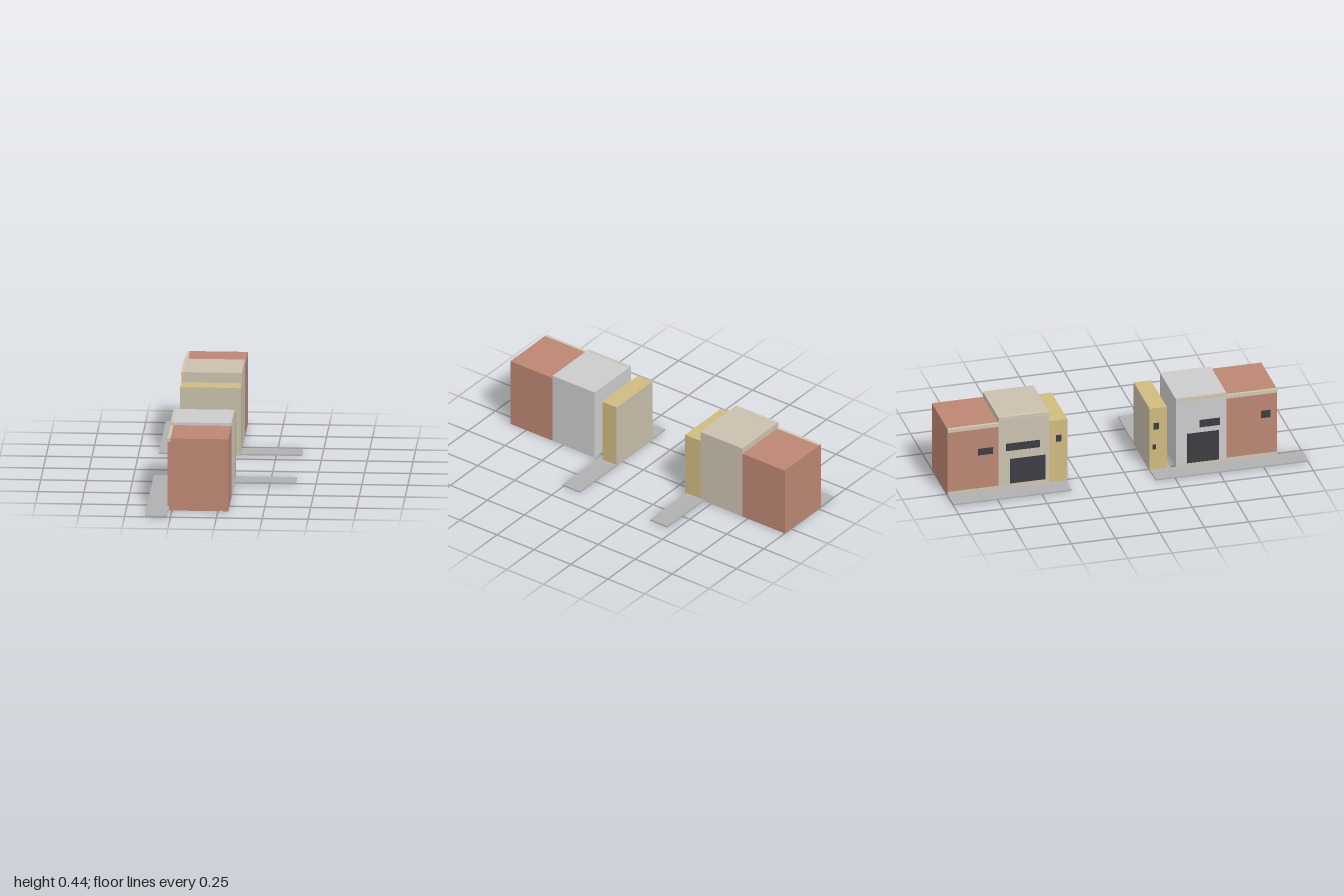
import * as THREE from 'three';

const COLORS = {
  pavement: 0xb0b0b0, brick: 0xbc8672, grey: 0xcfcecb, beige: 0xcac0af,
  ochre: 0xcfbb7f, wall: 0xc6beaa, trim: 0xcfc6b0, dark: 0x3c3c42,
};
const materials = {};
for (const key in COLORS) {
  materials[key] = new THREE.MeshStandardMaterial({ color: COLORS[key], flatShading: true });
}

// Box given by its limits on each axis
function box(parent, name, color, [x0, x1], [y0, y1], [z0, z1]) {
  const mesh = new THREE.Mesh(new THREE.BoxGeometry(x1 - x0, y1 - y0, z1 - z0), materials[color]);
  mesh.name = name;
  mesh.position.set((x0 + x1) / 2, (y0 + y1) / 2, (z0 + z1) / 2);
  parent.add(mesh);
  return mesh;
}

const FACADE = -0.273, REAR = 0.057;

// House with its street facade on the -x side; openings are [z0, z1, y0, y1]
function house(parent, name, color, height, z, openings, trimmed = true) {
  const group = new THREE.Group();
  group.name = name;
  box(group, 'walls', color, [FACADE, REAR], [0, height], z);
  if (trimmed) {
    const ends = [z[0] + 0.0005, z[1] + 0.0005];
    box(group, 'cornice', 'trim', [FACADE - 0.001, -0.258], [height - 0.02, height + 0.001], ends);
    box(group, 'plinth', 'trim', [FACADE - 0.0005, -0.267], [0.001, 0.025], ends);
  }
  for (const [z0, z1, y0, y1] of openings) {
    box(group, 'facadeOpening', 'dark', [FACADE - 0.001, FACADE + 0.004], [y0, y1], [z0, z1]);
  }
  parent.add(group);
  return group;
}

// L-shaped pavement: one strip along the facades, one along the cross street
function pavement(parent, long, cross) {
  box(parent, 'streetPavement', 'pavement', [-0.39, FACADE], [0, 0.008], long);
  box(parent, 'crossPavement', 'pavement', [FACADE, 0.39], [0, 0.008], cross);
}

export function createModel() {
  const model = new THREE.Group();
  model.name = 'streetCorner';

  // Front block
  const front = new THREE.Group();
  front.name = 'frontBlock';
  pavement(front, [0.14, 1], [0.14, 0.258]);
  const frontCorner = house(front, 'frontCornerHouse', 'ochre', 0.38, [0.14, 0.235],
    [[0.16, 0.19, 0.25, 0.29], [0.155, 0.175, 0.13, 0.16]], false);
  box(frontCorner, 'crossStreetWall', 'wall', [FACADE, REAR], [0.001, 0.379], [0.138, 0.142]);
  house(front, 'greyHouse', 'grey', 0.42, [0.286, 0.571],
    [[0.42, 0.535, 0.23, 0.275], [0.35, 0.53, 0.02, 0.2]]);
  house(front, 'frontBrickHouse', 'brick', 0.405, [0.571, 0.857],
    [[0.765, 0.82, 0.24, 0.285]]);

  // Back block
  const back = new THREE.Group();
  back.name = 'backBlock';
  pavement(back, [-1, -0.335], [-0.452, -0.335]);
  const backCorner = house(back, 'backCornerHouse', 'ochre', 0.38, [-0.428, -0.326],
    [[-0.39, -0.36, 0.25, 0.29]], false);
  box(backCorner, 'crossStreetWall', 'wall', [FACADE, REAR], [0.001, 0.379], [-0.329, -0.325]);
  box(backCorner, 'wallWindow', 'dark', [-0.156, -0.061], [0.194, 0.236], [-0.33, -0.322]);
  house(back, 'beigeHouse', 'beige', 0.438, [-0.713, -0.428],
    [[-0.67, -0.48, 0.23, 0.275], [-0.65, -0.45, 0.03, 0.18]]);
  house(back, 'backBrickHouse', 'brick', 0.405, [-1, -0.713],
    [[-0.83, -0.745, 0.225, 0.265]]);

  model.add(front, back);
  return model;
}
